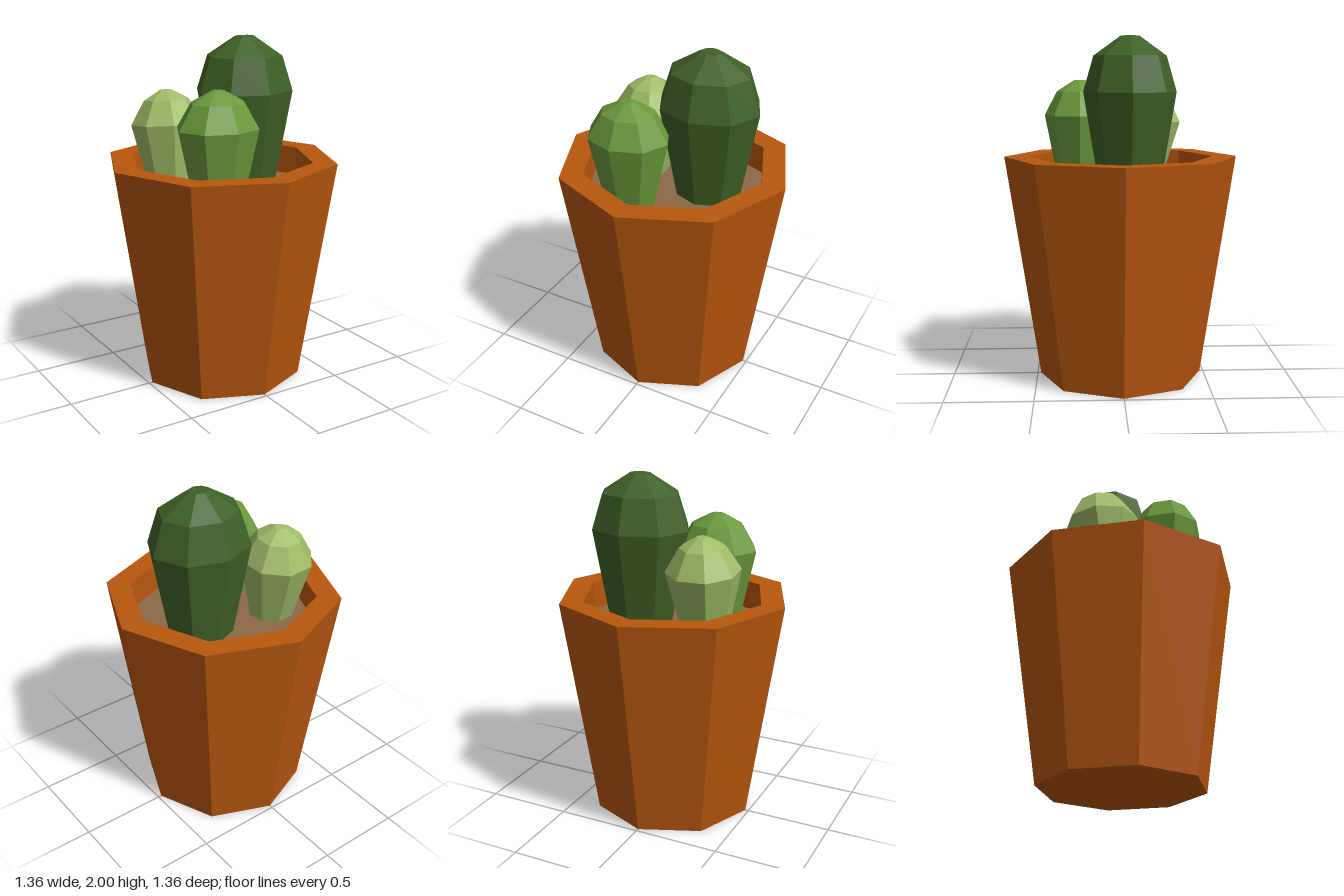
import * as THREE from 'three';

const SIDES = 8;
const SOIL_Y = 1.14;

const paint = (name, color) => {
  const m = new THREE.MeshStandardMaterial({ color });
  m.name = name;
  return m;
};

// Faceted eight-sided solid turned from [radius, height] pairs, bottom to top
function facetedLathe(profile) {
  const points = profile.map(([r, y]) => new THREE.Vector2(r, y));
  const geometry = new THREE.LatheGeometry(points, SIDES).toNonIndexed();
  geometry.computeVertexNormals();
  return geometry;
}

// Cactus body rooted just under the soil; rings are [radius share, height above base]
function cactus(name, material, { x, z, rx, rz, rings, turn = 0, lean = 0 }) {
  const top = rings[rings.length - 1][1];
  const geometry = facetedLathe([[0, 0], ...rings, [0, top]]);
  geometry.rotateY(turn);
  geometry.scale(rx, 1, rz);
  geometry.computeVertexNormals();
  const mesh = new THREE.Mesh(geometry, material);
  mesh.name = name;
  mesh.position.set(x, SOIL_Y - 0.01, z);
  mesh.rotation.x = lean;
  return mesh;
}

export function createModel() {
  const group = new THREE.Group();
  group.name = 'pottedCacti';

  const terracotta = paint('terracotta', 0xb8570f);
  const earth = paint('earth', 0x8c6947);
  const darkGreen = paint('darkGreen', 0x3f6026);
  const midGreen = paint('midGreen', 0x6a993c);
  const paleGreen = paint('paleGreen', 0xa0bc68);

  // Pot: floor, tapered wall, flat rim and upright inner wall
  const pot = new THREE.Mesh(
    facetedLathe([[0, 0], [0.48, 0], [0.68, 1.31], [0.54, 1.31], [0.54, SOIL_Y]]),
    terracotta
  );
  pot.name = 'pot';

  // Soil disc inside the rim
  const soil = new THREE.Mesh(new THREE.CircleGeometry(0.54, SIDES).rotateX(-Math.PI / 2), earth);
  soil.name = 'soil';
  soil.position.y = SOIL_Y;

  group.add(
    pot,
    soil,
    cactus('tallCactus', darkGreen, {
      x: 0.19, z: -0.045, rx: 0.3, rz: 0.263,
      rings: [[0.65, 0], [1, 0.56], [0.78, 0.76], [0.2, 0.87]]
    }),
    cactus('mediumCactus', midGreen, {
      x: -0.165, z: 0.237, rx: 0.245, rz: 0.21,
      rings: [[0.62, 0], [1, 0.415], [0.65, 0.555], [0.16, 0.62]]
    }),
    cactus('smallCactus', paleGreen, {
      x: -0.258, z: -0.127, rx: 0.212, rz: 0.212,
      rings: [[0.6, 0], [1, 0.39], [0.61, 0.525], [0.16, 0.58]],
      turn: -0.32, lean: -0.1
    })
  );
  return group;
}
